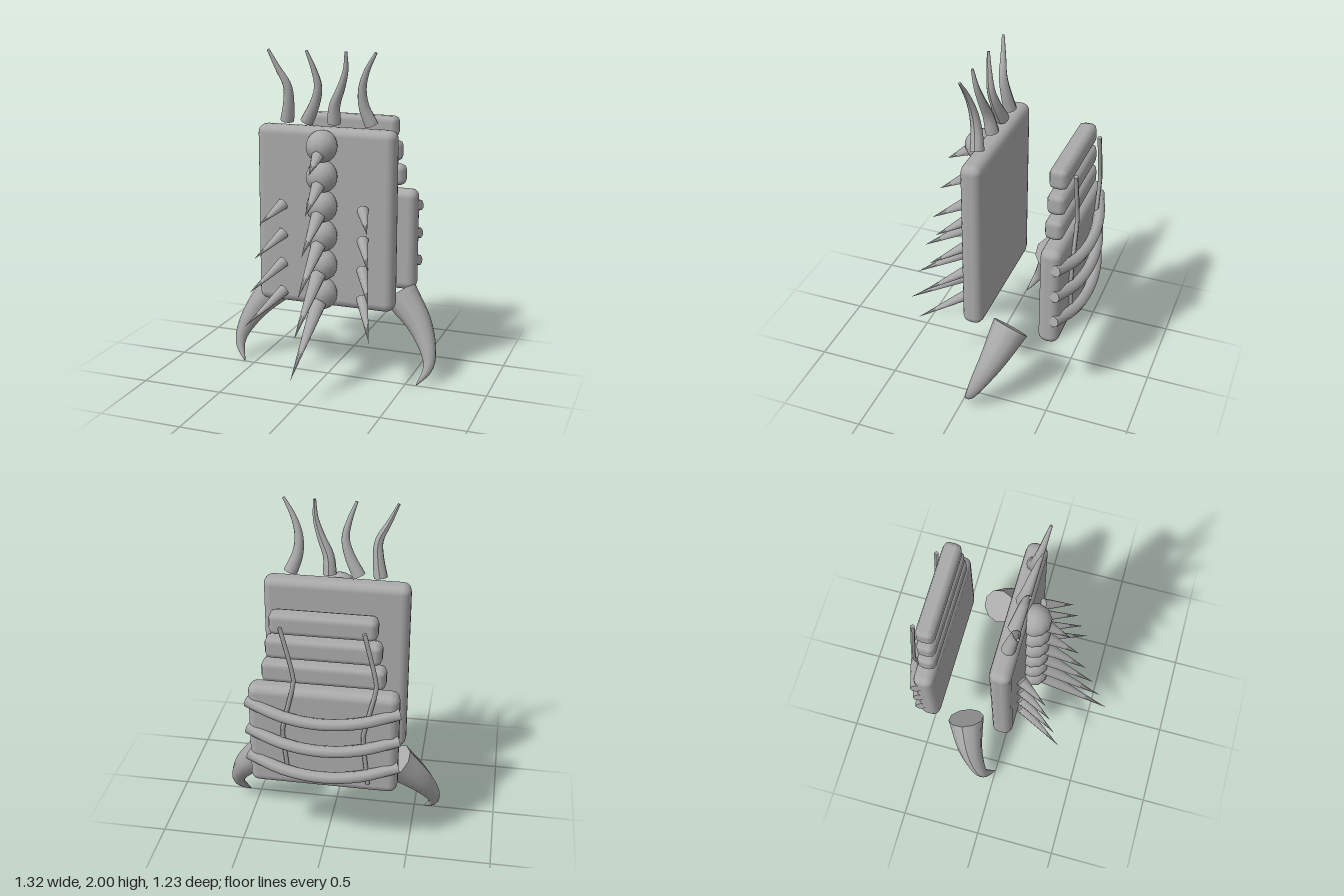
import * as THREE from 'three';
import { RoundedBoxGeometry } from 'three/addons/geometries/RoundedBoxGeometry.js';

const V = (x, y, z) => new THREE.Vector3(x, y, z);

// Capped tube along a curve; radiusAt(t) gives its thickness from base to end
function sweep(points, radiusAt, sides, steps, tension = 0.5) {
  const curve = new THREE.CatmullRomCurve3(points, false, 'catmullrom', tension);
  const frames = curve.computeFrenetFrames(steps, false);
  const geo = new THREE.CylinderGeometry(1, 1, 1, sides, steps);
  const pos = geo.attributes.position;
  for (let i = 0; i < pos.count; i++) {
    const t = pos.getY(i) + 0.5;
    const k = Math.round(t * steps);
    const r = radiusAt(t);
    const p = curve.getPointAt(k / steps)
      .addScaledVector(frames.normals[k], pos.getX(i) * r)
      .addScaledVector(frames.binormals[k], -pos.getZ(i) * r);
    pos.setXYZ(i, p.x, p.y, p.z);
  }
  geo.computeVertexNormals();
  return geo;
}

// Straight cone from a base centre to a tip
function spike(base, tip, radius) {
  const dir = tip.clone().sub(base);
  const length = dir.length();
  const geo = new THREE.ConeGeometry(radius, length, 8);
  geo.translate(0, length / 2, 0);
  geo.applyQuaternion(new THREE.Quaternion().setFromUnitVectors(V(0, 1, 0), dir.normalize()));
  geo.translate(base.x, base.y, base.z);
  return geo;
}

export function createModel() {
  const model = new THREE.Group();
  model.name = 'spikedArmour';
  const grey = new THREE.MeshStandardMaterial({ color: 0xaaaaaa });
  grey.name = 'grey';

  const add = (name, geo) => {
    const mesh = new THREE.Mesh(geo, grey);
    mesh.name = name;
    model.add(mesh);
    return mesh;
  };

  // Front and back plates
  add('frontPlate', new RoundedBoxGeometry(0.86, 1.09, 0.126, 2, 0.05)).position.set(0, 1.005, 0.006);
  add('backPlate', new RoundedBoxGeometry(0.86, 0.65, 0.126, 2, 0.05)).position.set(0, 0.782, -0.466);

  // Stacked bars above the back plate, narrower towards the top
  for (let i = 0; i < 3; i++) {
    add('backBar', new RoundedBoxGeometry(0.7 - i * 0.05, 0.13, 0.11, 1, 0.036))
      .position.set(0, 1.196 + i * 0.15, -0.457);
  }

  // Bowed straps around the back plate
  for (let i = 0; i < 3; i++) {
    const y = 1.0 - i * 0.18;
    add('backStrap', sweep([
      V(-0.435, y, -0.505), V(-0.22, y - 0.045, -0.567), V(0, y - 0.063, -0.585),
      V(0.22, y - 0.045, -0.567), V(0.435, y, -0.505),
    ], () => 0.034, 8, 16));
  }

  // Thin bent rods hanging down the back
  for (const x of [0.225, -0.235]) {
    add('backRod', sweep([
      V(x, 1.5, -0.54), V(x - 0.07, 1.18, -0.54), V(x, 0.85, -0.54), V(x - 0.03, 0.53, -0.54),
    ], () => 0.013, 6, 18, 0.2));
  }

  // Spine of balls, each with a longer spike than the one above
  for (let i = 0; i < 6; i++) {
    const y = 1.45 - i * 0.179;
    add('spineBall', new THREE.SphereGeometry(0.096, 10, 12)).position.set(0, y, 0.1);
    add('spineSpike', spike(V(0, y, 0.1), V(0, 1.316 - i * 0.225, 0.312 + i * 0.0593), 0.055));
  }

  // Side spikes on the front plate
  for (const s of [-1, 1]) {
    for (let i = 0; i < 4; i++) {
      const y = 1.085 - i * 0.18;
      const k = 0.6 + i * 0.133;
      add('sideSpike', spike(
        V(s * 0.25, y, 0.09), V(s * (0.25 + 0.138 * k), y - 0.16 * k, 0.09 + 0.283 * k), 0.036));
    }
  }

  // Wavy horns along the top: x positions from base to tip
  const horns = [
    [-0.25, -0.232, -0.232, -0.285, -0.335],
    [-0.125, -0.07, -0.04, -0.06, -0.098],
    [0.045, 0.055, 0.1, 0.135, 0.143],
    [0.275, 0.235, 0.23, 0.262, 0.322],
  ];
  for (const xs of horns) {
    const path = xs.map((x, i) => V(x, 1.575 + i * 0.1055, 0.015 + i * 0.019));
    add('topHorn', sweep(path, (t) => 0.041 - 0.033 * t, 10, 16));
  }

  // Large curved tusks at the bottom
  for (const s of [-1, 1]) {
    add('tusk', sweep([
      V(s * 0.395, 0.49, -0.232), V(s * 0.53, 0.34, -0.175), V(s * 0.61, 0.195, -0.108),
      V(s * 0.622, 0.095, -0.06), V(s * 0.567, 0.003, -0.003),
    ], (t) => 0.11 * Math.pow(1 - t, 0.85) + 0.002, 10, 18));
  }

  return model;
}
